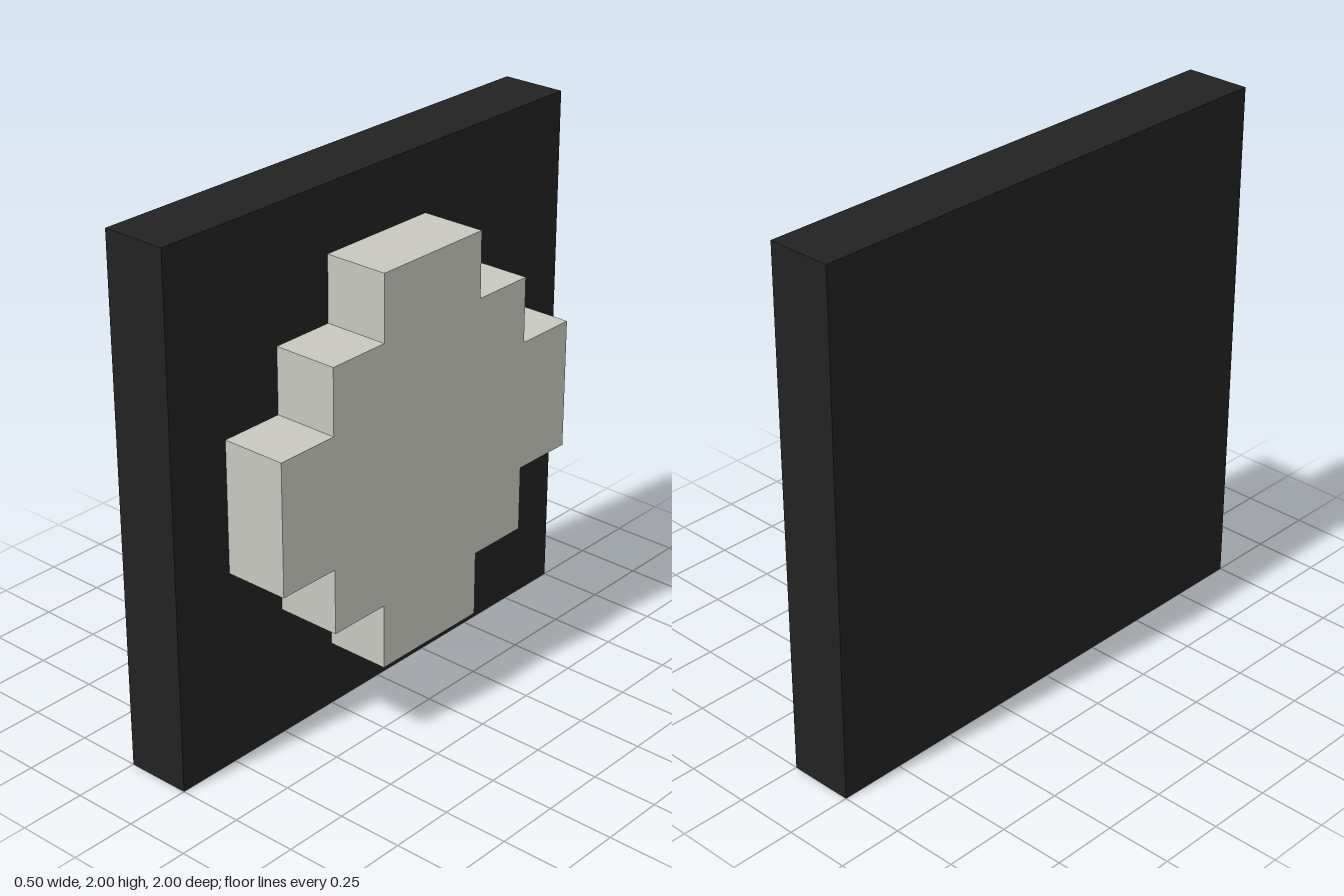
import * as THREE from 'three';

export function createModel() {
  const group = new THREE.Group();
  const black = new THREE.MeshStandardMaterial({ color: 0x222222 });
  black.name = 'black';
  const paleGrey = new THREE.MeshStandardMaterial({ color: 0xc8c8c0 });
  paleGrey.name = 'pale grey';

  // Square upright backing slab
  const slab = new THREE.Mesh(new THREE.BoxGeometry(0.25, 2, 2), black);
  slab.name = 'backPanel';
  slab.position.set(-0.125, 1, 0);
  group.add(slab);

  // Stepped disc: one quarter's staircase, turned four times
  const steps = [[0.75, -0.25], [0.75, 0.25], [0.5, 0.25], [0.5, 0.5], [0.25, 0.5]];
  const outline = [];
  for (let q = 0; q < 4; q++) {
    for (const [x, y] of steps) {
      let p = [x, y];
      for (let i = 0; i < q; i++) p = [-p[1], p[0]];
      outline.push(new THREE.Vector2(...p));
    }
  }
  const geometry = new THREE.ExtrudeGeometry(new THREE.Shape(outline), { depth: 0.25, bevelEnabled: false });
  geometry.rotateY(Math.PI / 2);
  const disc = new THREE.Mesh(geometry, paleGrey);
  disc.name = 'steppedDisc';
  disc.position.y = 1;
  group.add(disc);

  return group;
}
